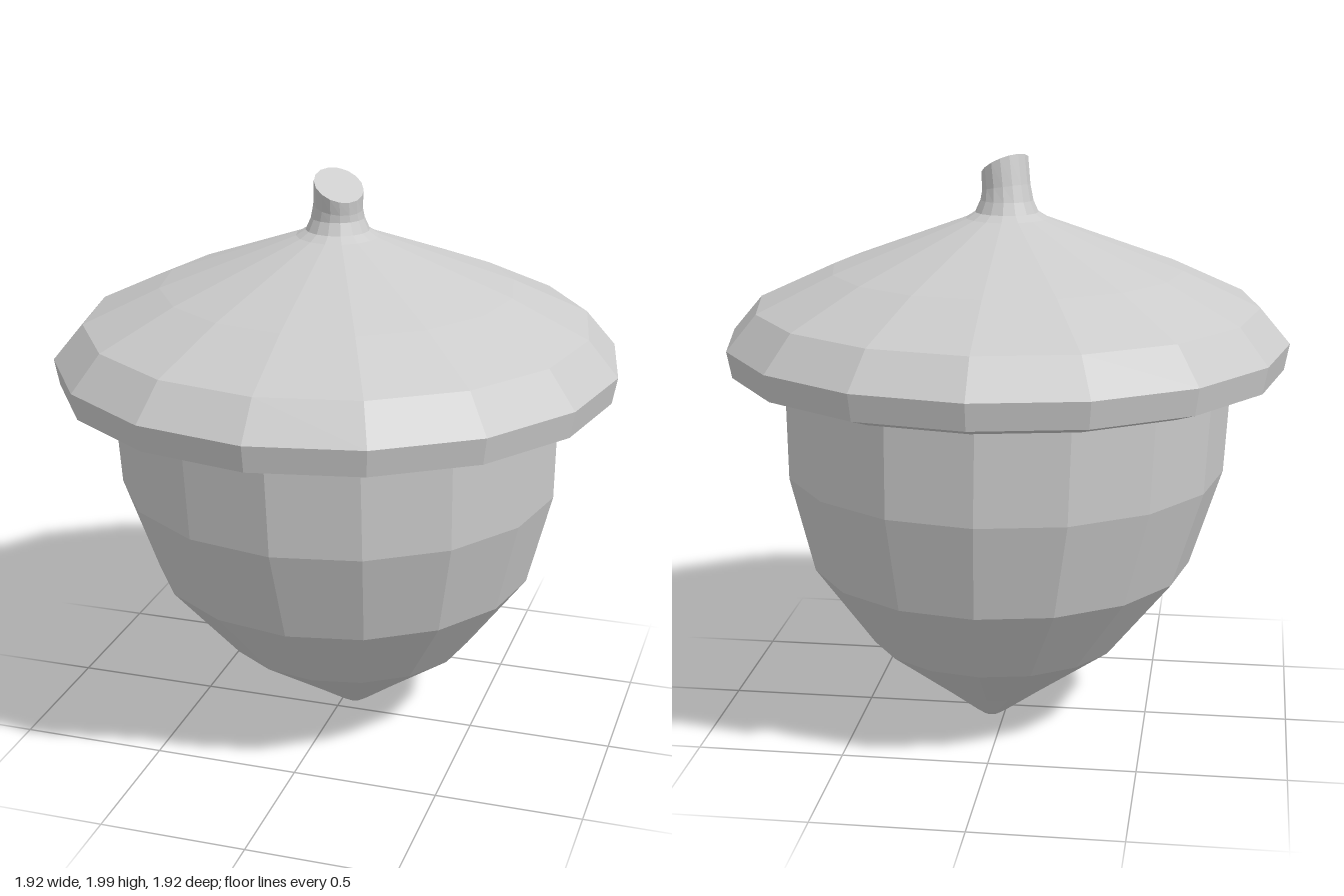
import * as THREE from 'three';

const SIDES = 16;
const material = new THREE.MeshStandardMaterial({ color: 0xcccccc, flatShading: true });

// Revolve a profile of [radius, height] pairs, then move each vertex by an optional rule
function turned(name, profile, rule) {
  const geometry = new THREE.LatheGeometry(profile.map(([r, y]) => new THREE.Vector2(r, y)), SIDES);
  if (rule) {
    const pos = geometry.attributes.position;
    const v = new THREE.Vector3();
    for (let i = 0; i < pos.count; i++) {
      rule(v.fromBufferAttribute(pos, i));
      pos.setXYZ(i, v.x, v.y, v.z);
    }
    geometry.computeVertexNormals();
  }
  const mesh = new THREE.Mesh(geometry, material);
  mesh.name = name;
  return mesh;
}

export function createModel() {
  const group = new THREE.Group();
  group.name = 'acorn';

  // Nut: its tip drifts slightly off centre towards the back left
  group.add(turned('nut', [
    [0, 0.005], [0.03, 0.01], [0.06, 0.03], [0.18, 0.12], [0.44, 0.31],
    [0.66, 0.59], [0.757, 0.92], [0.77, 1.25], [0.77, 1.3],
  ], (v) => {
    const t = Math.pow(Math.max(0, 1 - v.y / 1.25), 1.5);
    v.x += 0.045 * t;
    v.z -= 0.075 * t;
  }));

  // Cap: overhanging rim, thin edge band and sloping crown
  group.add(turned('cap', [
    [0.76, 1.27], [0.86, 1.25], [0.945, 1.28], [0.962, 1.37],
    [0.86, 1.49], [0.6, 1.61], [0.14, 1.78],
  ]));

  // Stem: flared foot, with the cut end tipped towards the front left
  const axis = new THREE.Vector3(1, 0, -1).normalize();
  const cutY = 1.952;
  group.add(turned('stem', [
    [0.14, 1.78], [0.108, 1.8], [0.09, 1.84], [0.083, 1.88], [0.085, cutY], [0, cutY],
  ], (v) => {
    const w = Math.max(0, (v.y - 1.84) / (cutY - 1.84));
    const y = v.y;
    v.y = 0;
    v.applyAxisAngle(axis, 0.56 * w);
    v.x += 0.01 * w;
    v.y += y;
    v.z += 0.02 * w;
  }));

  return group;
}
